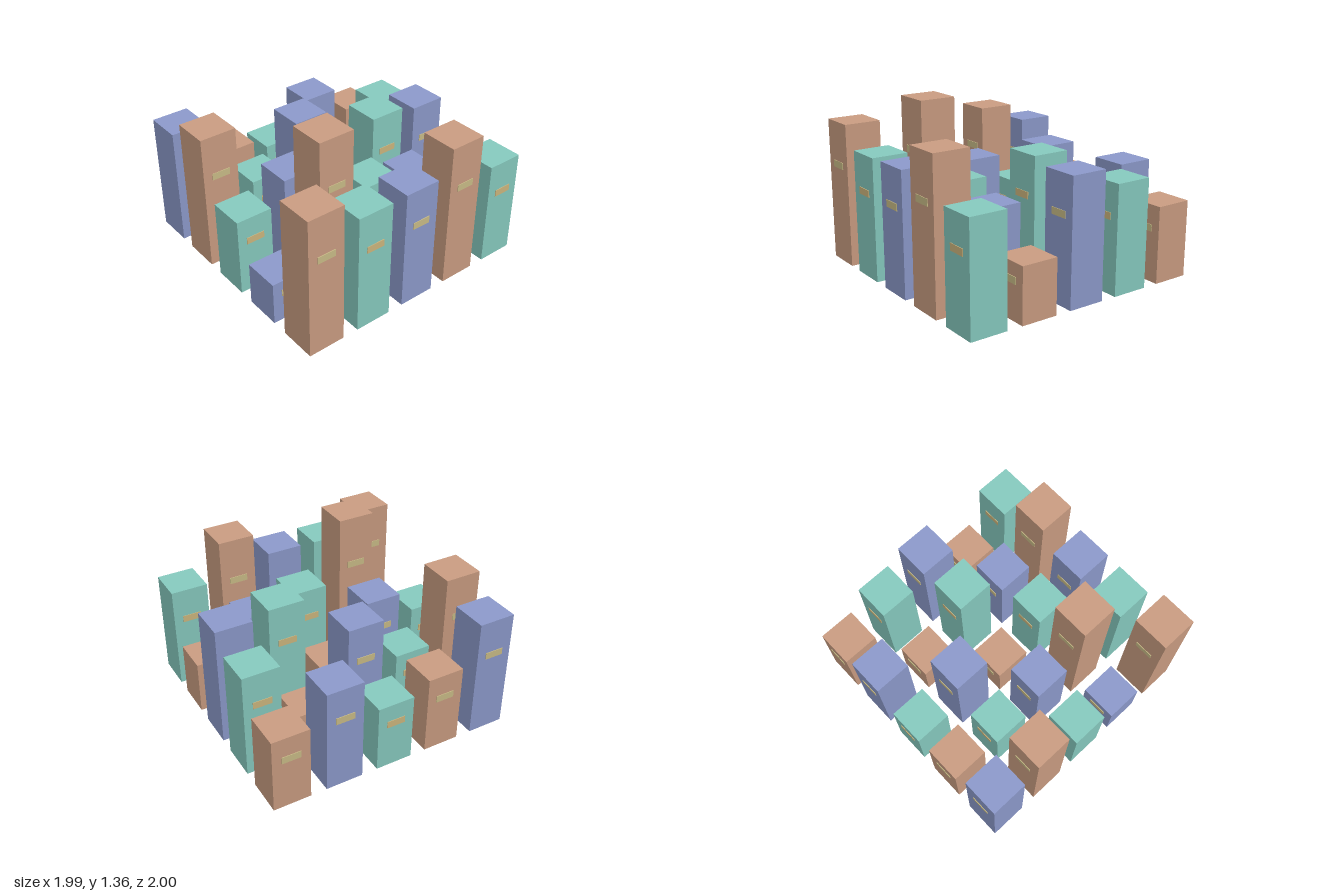
import * as THREE from 'three';

const PITCH = 0.4237;
const SIZE = 0.297;
const PLATE = { width: 0.15, height: 0.055, depth: 0.005 };

// Tower heights: rows run back to front, columns run from -x to +x
const HEIGHTS = [
  [0.98, 0.645, 0.55, 0.845, 0.61],
  [1.13, 0.595, 0.965, 0.355, 0.86],
  [0.645, 0.83, 0.375, 1.04, 0.99],
  [0.35, 1.355, 0.815, 0.72, 0.435],
  [1.15, 0.975, 0.98, 1.185, 0.86],
];

function material(name, color) {
  const m = new THREE.MeshStandardMaterial({ color });
  m.name = name;
  return m;
}

function box(name, w, h, d, mat, x, y, z) {
  const mesh = new THREE.Mesh(new THREE.BoxGeometry(w, h, d), mat);
  mesh.name = name;
  mesh.position.set(x, y, z);
  return mesh;
}

export function createModel() {
  const blue = material('blue', 0x8c99ca);
  const orange = material('orange', 0xc99c81);
  const teal = material('teal', 0x86c9be);
  const sand = material('sand', 0xc9bc87);
  const amber = material('amber', 0xcdb67e);
  const bodies = [blue, orange, teal];

  const model = new THREE.Group();
  model.name = 'towerGrid';

  HEIGHTS.forEach((row, j) => row.forEach((h, i) => {
    const body = bodies[(i + j) % 3];
    const tower = new THREE.Group();
    tower.name = `tower_${j}_${i}`;
    tower.position.set((i - 2) * PITCH, 0, (j - 2) * PITCH);
    tower.add(box('towerBody', SIZE, h, SIZE, body, 0, h / 2, 0));

    // Thin plates on the front and back faces, at 70% of the height
    for (const side of [1, -1]) {
      tower.add(box(
        side > 0 ? 'frontPlate' : 'backPlate',
        PLATE.width, PLATE.height, PLATE.depth,
        body === teal ? amber : sand,
        0, h * 0.7, side * (SIZE + PLATE.depth) / 2,
      ));
    }
    model.add(tower);
  }));

  return model;
}
